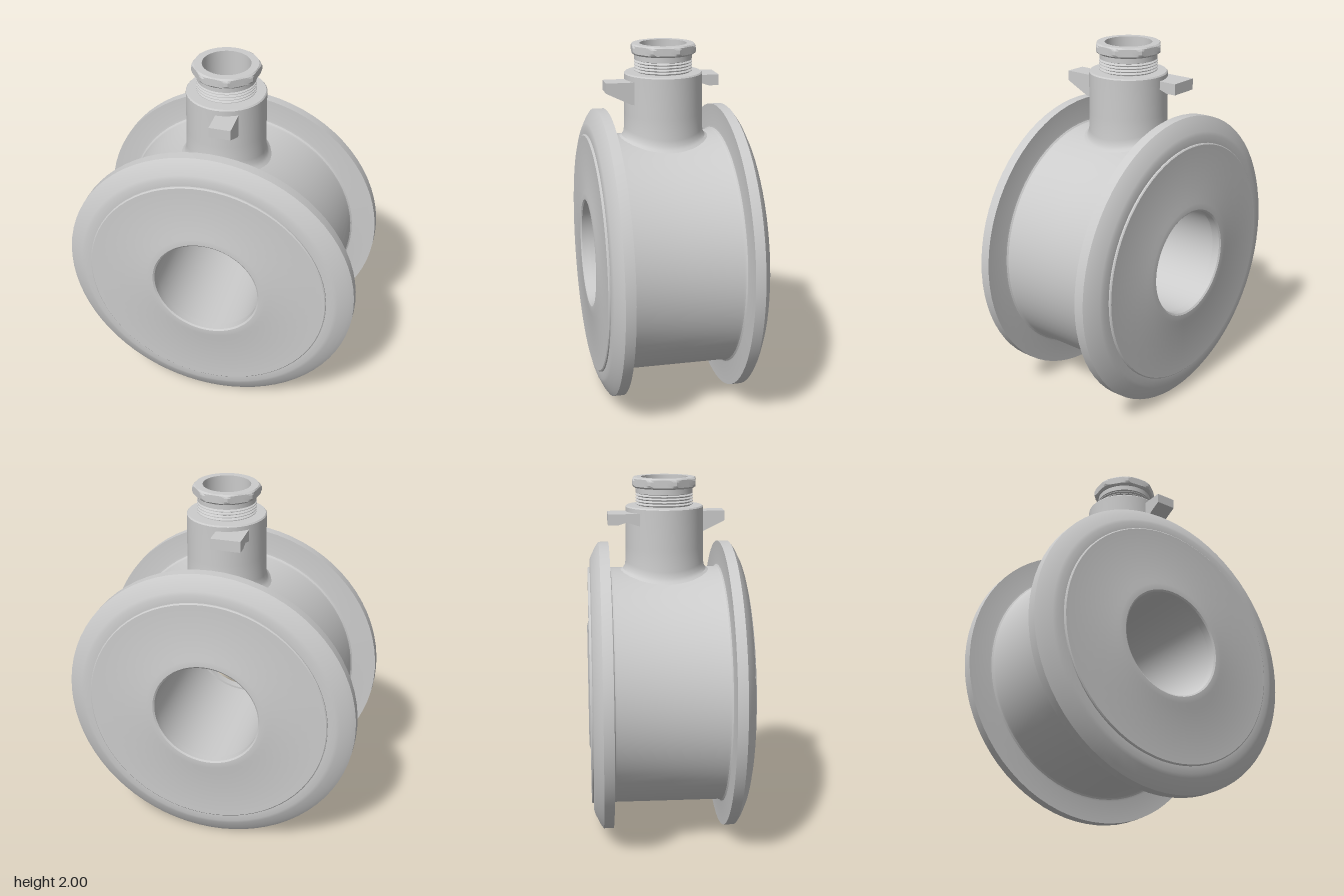
import * as THREE from 'three';
import { toCreasedNormals } from 'three/addons/utils/BufferGeometryUtils.js';

const CY = 0.82; // height of the bore axis
const BODY_R = 0.67;
const material = new THREE.MeshStandardMaterial({ color: 0xcccccc });

function part(name, geometry, crease = 0.45) {
  const mesh = new THREE.Mesh(toCreasedNormals(geometry, crease), material);
  mesh.name = name;
  return mesh;
}

function lathe(points, segments) {
  return new THREE.LatheGeometry(points.map(([r, y]) => new THREE.Vector2(r, y)), segments);
}

// Flanged drum with a through bore: half profile, mirrored about z = 0
function makeBody() {
  const half = [
    [BODY_R, 0], [BODY_R, 0.29], [0.673, 0.301], [0.681, 0.308], [0.692, 0.31],
    [0.815, 0.31], [0.815, 0.365], [0.79, 0.383], [0.735, 0.41], [0.715, 0.417],
    [0.674, 0.417], [0.674, 0.424], [0.668, 0.429],
    [0.37, 0.429], [0.34, 0.437], [0.305, 0.437], [0.296, 0.43],
    [0.296, 0.385], [0.308, 0.385], [0.308, 0],
  ];
  const back = half.slice(0, -1).reverse().map(([r, z]) => [r, -z]);
  return lathe([...half, ...back], 72).rotateX(Math.PI / 2).translate(0, CY, 0);
}

// Neck whose flared foot drops to follow the drum
function makeNeck() {
  const g = lathe([
    [0.25, 1.475], [0.25, 1.487], [0.232, 1.497], [0.222, 1.512], [0.217, 1.54],
    [0.215, 1.62], [0.214, 1.838], [0.208, 1.845], [0.12, 1.845],
  ], 40);
  const p = g.attributes.position;
  for (let i = 0; i < p.count; i++) {
    if (p.getY(i) > 1.58) continue;
    const x = p.getX(i);
    p.setY(i, p.getY(i) - (BODY_R - Math.sqrt(BODY_R ** 2 - x * x)));
  }
  return g;
}

// Threaded gland: stacked V ridges and a plain collar
function makeThread() {
  const pts = [[0.145, 1.835]];
  for (let i = 0; i < 4; i++) {
    const y = 1.847 + i * 0.016;
    pts.push([0.145, y], [0.159, y + 0.006], [0.159, y + 0.009], [0.145, y + 0.015]);
  }
  pts.push([0.157, 1.914], [0.157, 1.95]);
  return lathe(pts, 40);
}

// Eight-sided nut: each ring is the octagon clipped by a chamfer radius
function makeNut() {
  const seg = 64, hole = 0.128, flat = 0.172, turn = 0.27;
  const rings = [[0.15, 1.943], [0.165, 1.943], [0.178, 1.952], [0.188, 1.963],
    [0.188, 1.983], [0.178, 1.993], [0.168, 2], [hole, 2], [hole, 1.72], [0, 1.72]];
  const g = lathe(rings, seg);
  const p = g.attributes.position;
  for (let i = 0; i < p.count; i++) {
    const x = p.getX(i), z = p.getZ(i), r = Math.hypot(x, z);
    if (r < 0.16) continue;
    const step = Math.PI / 4;
    const a = Math.atan2(z, x) + turn + Math.PI * 2;
    const off = (a % step) - step / 2;
    const k = Math.min(r, flat / Math.cos(off)) / r;
    p.setX(i, x * k);
    p.setZ(i, z * k);
  }
  return g;
}

// Stop lug: side outline in (z, y), extruded along x
function makeLug(outline, x0, x1) {
  const shape = new THREE.Shape(outline.map(([z, y]) => new THREE.Vector2(-z, y)));
  return new THREE.ExtrudeGeometry(shape, { depth: x1 - x0, bevelEnabled: false })
    .rotateY(Math.PI / 2).translate(x0, 0, 0);
}

export function createModel() {
  const model = new THREE.Group();
  model.name = 'flangedValveBody';
  model.add(
    part('flangedBody', makeBody()),
    part('neck', makeNeck()),
    part('glandThread', makeThread()),
    part('glandNut', makeNut(), 0.3),
    part('frontLug', makeLug(
      [[0.15, 1.81], [0.15, 1.68], [0.2, 1.69], [0.335, 1.755], [0.335, 1.81]], 0, 0.115)),
    part('backLug', makeLug(
      [[-0.1, 1.815], [-0.1, 1.735], [-0.215, 1.77], [-0.26, 1.755],
        [-0.315, 1.755], [-0.315, 1.815]], -0.16, 0)),
  );
  return model;
}
